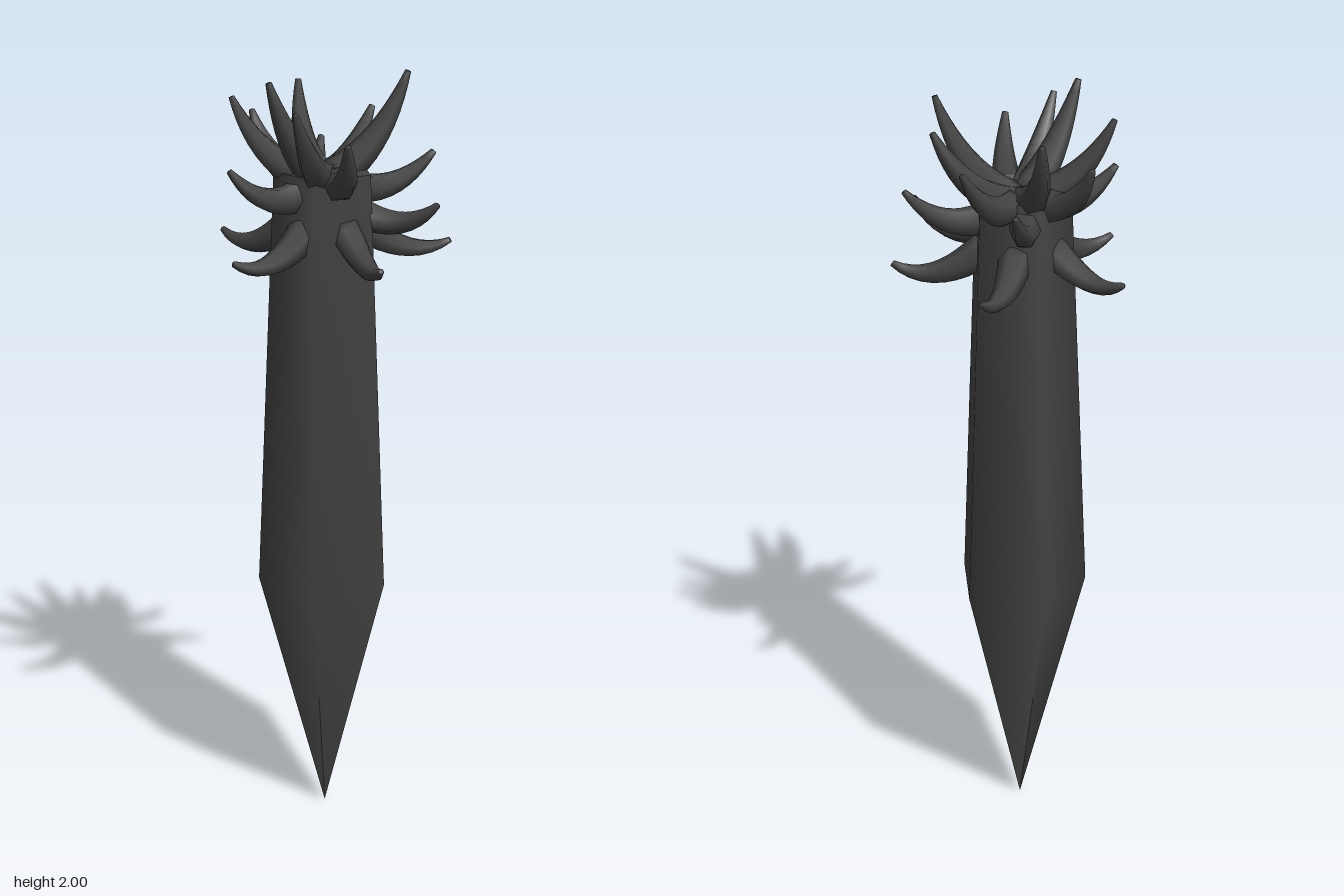
import * as THREE from 'three';
import { mergeVertices } from 'three/addons/utils/BufferGeometryUtils.js';

const material = new THREE.MeshStandardMaterial({ color: 0x444444, side: THREE.DoubleSide });

// Each tier: root radius and height, bend height, tip height, root thickness, tips as [x, z]
const TIERS = [
  { name: 'crownTentacle', rootR: 0.015, rootY: 1.73, bendY: 1.79, tipY: 2.0, thick: 0.046,
    tips: [[0.175, -0.115], [-0.055, 0.19]] },
  { name: 'upperTentacle', rootR: 0.025, rootY: 1.73, bendY: 1.76, tipY: 1.94, thick: 0.045,
    tips: [[-0.165, -0.17], [-0.205, 0.11], [0.045, 0.24], [0.12, -0.21]] },
  { name: 'middleTentacle', rootR: 0.06, rootY: 1.73, bendY: 1.72, tipY: 1.87, thick: 0.044,
    tips: [[-0.25, -0.075], [0, -0.267], [0.175, 0.215]] },
  { name: 'lowerTentacle', rootR: 0.08, rootY: 1.7, bendY: 1.66, tipY: 1.78, thick: 0.042,
    tips: [[0.2, -0.22], [-0.14, -0.25], [-0.145, 0.23]] },
  { name: 'sideTentacle', rootR: 0.08, rootY: 1.65, bendY: 1.59, tipY: 1.69, thick: 0.042,
    tips: [[0.303, -0.025]] },
  { name: 'baseTentacle', rootR: 0.085, rootY: 1.61, bendY: 1.5, tipY: 1.565, thick: 0.044,
    tips: [[-0.303, -0.01], [-0.1, 0.293], [0.255, 0.193], [0.27, -0.175], [-0.075, -0.3]] },
];

// A tapered, upward-curling horn: a cylinder bent along a curve
function hornGeometry(curve, thick) {
  const rows = 10;
  const frames = curve.computeFrenetFrames(rows, false);
  const geo = new THREE.CylinderGeometry(1, 1, 1, 6, rows);
  const pos = geo.attributes.position;
  const p = new THREE.Vector3();
  for (let i = 0; i < pos.count; i++) {
    const row = Math.round((pos.getY(i) + 0.5) * rows);
    const t = row / rows;
    const radius = THREE.MathUtils.lerp(thick, 0.008, Math.pow(t, 1.35));
    p.copy(curve.getPointAt(t))
      .addScaledVector(frames.normals[row], pos.getX(i) * radius)
      .addScaledVector(frames.binormals[row], -pos.getZ(i) * radius);
    pos.setXYZ(i, p.x, p.y, p.z);
  }
  geo.deleteAttribute('uv');
  geo.deleteAttribute('normal');
  const smooth = mergeVertices(geo, 1e-5);
  smooth.computeVertexNormals();
  return smooth;
}

function makeTentacle(tier, [x, z]) {
  // The root is turned slightly so the horns swirl around the axis
  const angle = Math.atan2(z, x) - 0.2;
  const tip = new THREE.Vector3(x, tier.tipY - 0.003, z);
  const root = new THREE.Vector3(Math.cos(angle) * tier.rootR, tier.rootY, Math.sin(angle) * tier.rootR);
  const reach = Math.hypot(x, z) * 0.68;
  const bend = new THREE.Vector3(Math.cos(angle + 0.08) * reach, tier.bendY, Math.sin(angle + 0.08) * reach);
  const mesh = new THREE.Mesh(
    hornGeometry(new THREE.QuadraticBezierCurve3(root, bend, tip), tier.thick), material);
  mesh.name = tier.name;
  return mesh;
}

export function createModel() {
  const model = new THREE.Group();
  model.name = 'tentacledStake';

  // Five-sided stake with a long point at the bottom
  const profile = [[0, 0], [0.175, 0.66], [0.13, 1.75]].map(([r, y]) => new THREE.Vector2(r, y));
  const body = new THREE.Mesh(new THREE.LatheGeometry(profile, 5, Math.PI / 2), material);
  body.name = 'body';
  model.add(body);

  // Flat top of the stake
  const top = new THREE.Mesh(new THREE.CircleGeometry(0.13, 5), material);
  top.name = 'bodyTop';
  top.rotation.x = -Math.PI / 2;
  top.position.y = 1.75;
  model.add(top);

  // Tiers of curling tentacles
  const tentacles = new THREE.Group();
  tentacles.name = 'tentacles';
  for (const tier of TIERS) {
    for (const tip of tier.tips) tentacles.add(makeTentacle(tier, tip));
  }
  model.add(tentacles);
  return model;
}
